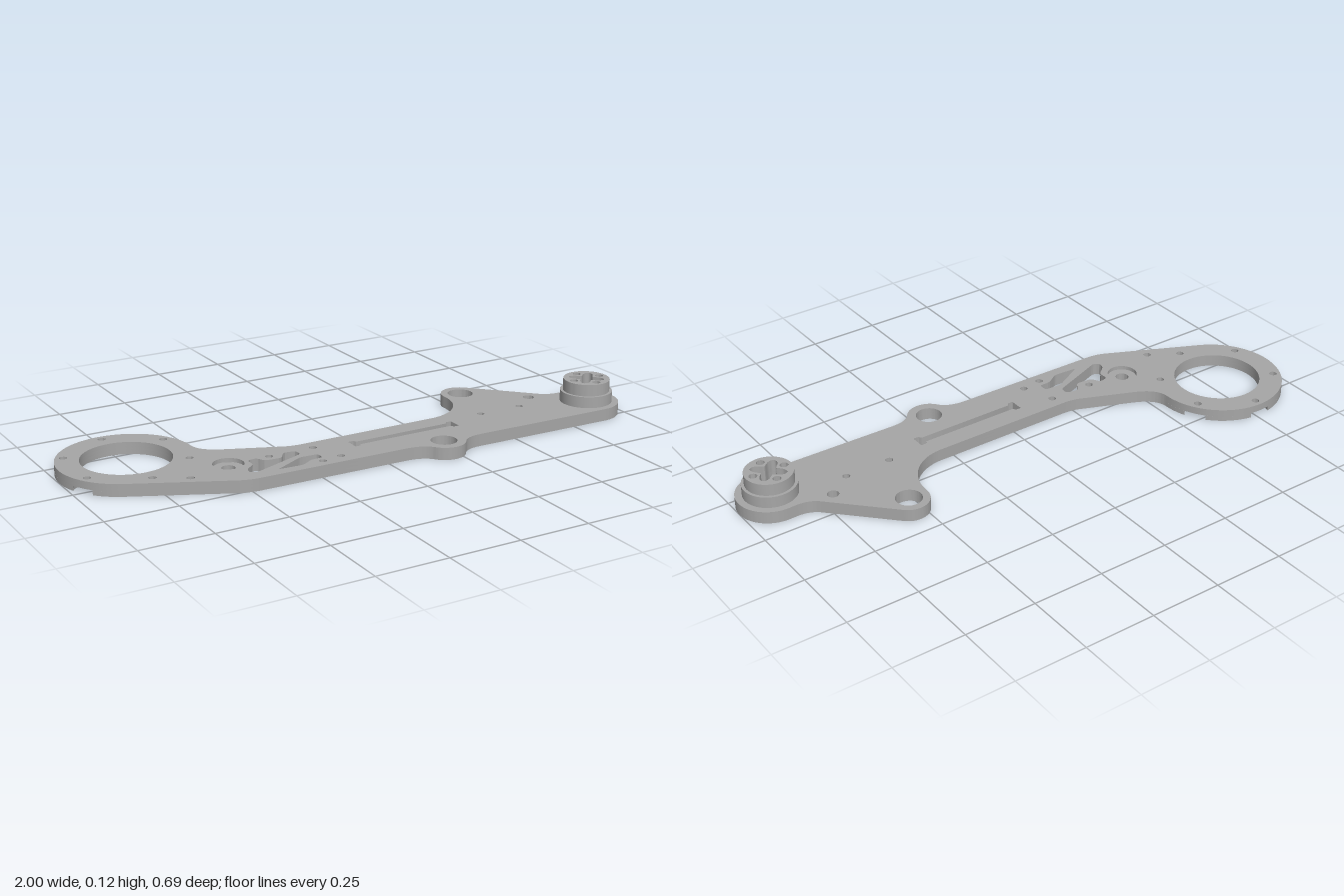
import * as THREE from 'three';
import { toCreasedNormals } from 'three/addons/utils/BufferGeometryUtils.js';

// Plan coordinates are (x, z); shapes are drawn with y = -z and extruded upward.
const RING = [-0.767, -0.115], RING_R = 0.232, BOLT_R = 0.205, BORE_R = 0.045;
const HUB = [0.884, 0.172];
const rad = (d) => d * Math.PI / 180;

const circle = (x, z, r) => new THREE.Path().absarc(x, -z, r, 0, Math.PI * 2, false);

// Closed polygon with softened corners
function rounded(pts, r = 0.012) {
  const p = new THREE.Path(), v = pts.map(([x, z]) => new THREE.Vector2(x, -z)), n = v.length;
  v.forEach((c, i) => {
    const toward = (q) => {
      const d = q.clone().sub(c), l = d.length();
      return c.clone().addScaledVector(d, Math.min(r, l * 0.4) / l);
    };
    const a = toward(v[(i + n - 1) % n]), b = toward(v[(i + 1) % n]);
    if (i) p.lineTo(a.x, a.y); else p.moveTo(a.x, a.y);
    p.quadraticCurveTo(c.x, c.y, b.x, b.y);
  });
  p.closePath();
  return p;
}

// Plate outline; notched cuts the bolt counterbores through the ring edge
function outline(notched) {
  const s = new THREE.Shape(), rx = RING[0], ry = -RING[1];
  s.moveTo(0.884, -0.288);
  s.absarc(HUB[0], -HUB[1], 0.116, -Math.PI / 2, Math.PI / 2, false);
  s.lineTo(0.85, -0.057);
  s.quadraticCurveTo(0.805, -0.056, 0.78, -0.03);
  s.absarc(0.54, 0.117, 0.07, rad(44), Math.PI, false);
  s.absarc(0.3, 0.11, 0.17, 0, -Math.PI / 2, true);
  s.lineTo(-0.21, -0.06);
  s.quadraticCurveTo(-0.25, -0.06, -0.28, -0.047);
  s.lineTo(-0.46, 0.028);
  s.quadraticCurveTo(-0.535, 0.06, -0.535, ry);
  let from = 0;
  if (notched) for (const deg of [30, 90, 150, 210]) {
    const a = rad(deg);
    s.absarc(rx, ry, RING_R, from, a - 0.167, false);
    s.absarc(rx + BOLT_R * Math.cos(a), ry + BOLT_R * Math.sin(a), BORE_R, a - 1.018, a + 1.018 - Math.PI * 2, true);
    from = a + 0.167;
  }
  s.absarc(rx, ry, RING_R, from, rad(243.5), false);
  s.lineTo(-0.545, -0.248);
  s.quadraticCurveTo(-0.51, -0.264, -0.47, -0.264);
  s.lineTo(0.07, -0.272);
  s.quadraticCurveTo(0.125, -0.275, 0.15, -0.305);
  s.absarc(0.215, -0.267, 0.075, rad(210), rad(330), false);
  s.quadraticCurveTo(0.305, -0.277, 0.36, -0.279);
  s.closePath();
  return s;
}

// Four-lobed hub opening with a screw hole between each pair of lobes
function hubHoles() {
  const pts = [];
  for (let i = 0; i < 64; i++) {
    const a = i / 64 * Math.PI * 2, r = 0.045 - 0.017 * Math.cos(4 * a);
    pts.push(new THREE.Vector2(HUB[0] + r * Math.cos(a), -HUB[1] + r * Math.sin(a)));
  }
  const holes = [new THREE.Path(pts)];
  for (let i = 0; i < 4; i++) {
    const a = i * Math.PI / 2;
    holes.push(circle(HUB[0] + 0.056 * Math.cos(a), HUB[1] + 0.056 * Math.sin(a), 0.014));
  }
  return holes;
}

// Openings that pass through the whole plate
function throughHoles() {
  const holes = [
    circle(...RING, 0.152), circle(0.54, -0.117, 0.045), circle(0.215, 0.267, 0.045), circle(0.727, 0.043, 0.02),
    // two windows
    rounded([[-0.44, 0.107], [-0.406, 0.101], [-0.39, 0.134], [-0.33, 0.139], [-0.305, 0.101], [-0.262, 0.108],
      [-0.262, 0.139], [-0.46, 0.214], [-0.481, 0.203], [-0.476, 0.176], [-0.438, 0.145]]),
    rounded([[-0.39, 0.226], [-0.278, 0.166], [-0.214, 0.169], [-0.214, 0.203], [-0.256, 0.203], [-0.3, 0.231]]),
    // long slot with widened ends
    rounded([[-0.07, 0.12], [-0.05, 0.12], [-0.045, 0.131], [0.315, 0.131], [0.32, 0.12], [0.34, 0.12],
      [0.34, 0.17], [0.32, 0.17], [0.315, 0.159], [-0.045, 0.159], [-0.05, 0.17], [-0.07, 0.17]], 0.004),
    ...hubHoles(),
  ];
  for (const [x, z] of [[-0.36, 0.107], [-0.197, 0.107], [-0.23, 0.231], [-0.155, 0.22], [-0.663, 0.152],
    [0.475, 0.107], [0.64, 0.107]]) holes.push(circle(x, z, 0.013));
  return holes;
}

const ringBolts = (degs, r) => degs.map((d) =>
  circle(RING[0] + BOLT_R * Math.cos(rad(d)), RING[1] - BOLT_R * Math.sin(rad(d)), r));

// Weight-saving pockets between the underside ribs
const pockets = () => [
  [[-0.17, 0.085], [-0.09, 0.085], [-0.09, 0.2]],
  [[-0.05, 0.08], [0.32, 0.08], [0.32, 0.102], [-0.05, 0.102]],
  [[-0.08, 0.19], [0.1, 0.19], [-0.08, 0.25]],
  [[0.0, 0.25], [0.14, 0.195], [0.15, 0.25]],
  [[0.27, 0.19], [0.4, 0.19], [0.4, 0.255], [0.29, 0.255]],
  [[0.38, 0.085], [0.44, 0.085], [0.44, 0.16], [0.38, 0.16]],
  [[0.43, 0.255], [0.43, 0.18], [0.62, 0.255]],
  [[0.47, 0.165], [0.73, 0.165], [0.73, 0.25], [0.66, 0.25]],
  [[0.51, 0.085], [0.6, 0.085], [0.6, 0.14], [0.51, 0.14]],
  [[0.44, 0.06], [0.49, -0.03], [0.56, -0.03], [0.62, 0.06]],
  [[0.58, -0.06], [0.61, -0.07], [0.685, 0.01], [0.66, 0.05]],
  [[0.67, 0.09], [0.76, 0.09], [0.75, 0.14], [0.67, 0.14]],
  [[-0.69, 0.09], [-0.62, 0.06], [-0.57, 0.09], [-0.6, 0.14]],
  [[-0.62, 0.17], [-0.57, 0.15], [-0.52, 0.17], [-0.52, 0.235]],
  [[-0.52, 0.04], [-0.48, 0.02], [-0.3, 0.08], [-0.43, 0.08]],
].map((p) => rounded(p, 0.015));

export function createModel() {
  const group = new THREE.Group();
  const metal = new THREE.MeshStandardMaterial({ color: 0xa6a6a6 });
  metal.name = 'brushedGrey';

  function layer(name, shape, holes, y0, y1) {
    shape.holes.push(...holes);
    let g = new THREE.ExtrudeGeometry(shape, { depth: y1 - y0, bevelEnabled: false, curveSegments: 28 });
    g.rotateX(-Math.PI / 2);
    g.translate(0, y0, 0);
    g = toCreasedNormals(g, rad(35));
    const mesh = new THREE.Mesh(g, metal);
    mesh.name = name;
    group.add(mesh);
  }

  const all = [30, 90, 150, 210, 270, 330];
  const pivot = (r) => circle(-0.505, 0.1, r);

  // Plate in three layers: notched underside, ribs, top skin
  layer('plateUnderside', outline(true),
    [...throughHoles(), ...pockets(), ...ringBolts([270, 330], BORE_R), pivot(0.023)], 0, 0.017);
  layer('plateRibs', outline(false),
    [...throughHoles(), ...pockets(), ...ringBolts(all, 0.013), pivot(0.023)], 0.017, 0.029);
  layer('plateSkin', outline(false),
    [...throughHoles(), ...ringBolts(all, 0.013), pivot(0.052)], 0.029, 0.043);

  // Stepped hub on the narrow end
  const disc = (r) => new THREE.Shape().absarc(HUB[0], -HUB[1], r, 0, Math.PI * 2, false);
  layer('hubBase', disc(0.092), hubHoles(), 0.043, 0.083);
  layer('hubTop', disc(0.082), hubHoles(), 0.083, 0.125);
  return group;
}
